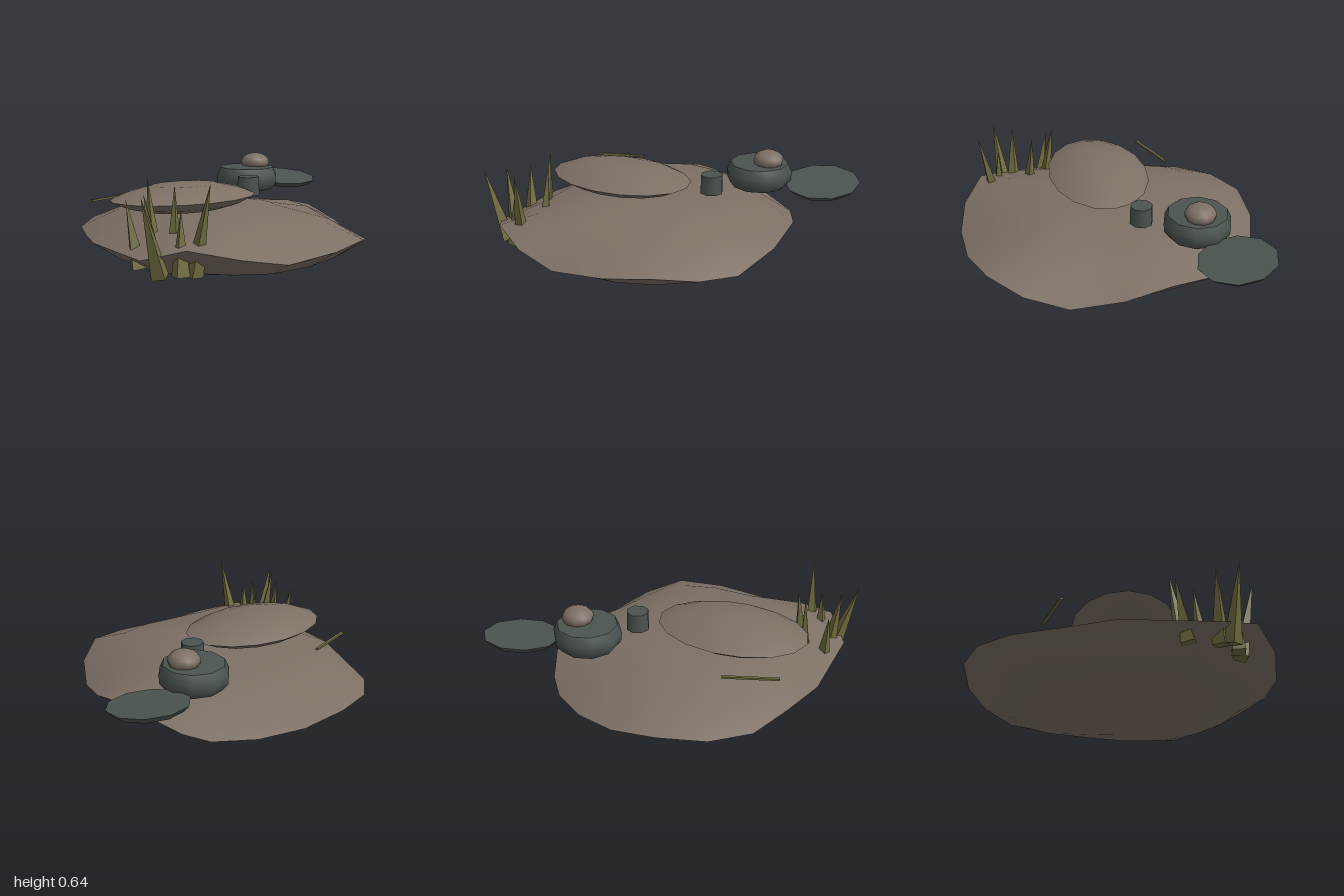
import * as THREE from 'three';
import { toCreasedNormals } from 'three/addons/utils/BufferGeometryUtils.js';

const mat = (name, color) => new THREE.MeshStandardMaterial({ name, color });

// Lens-shaped rock: rim points [x, z, y], rings [scale, y, share of the rim's waviness]
function lensRock(rim, cx, cz, meanY, rings) {
  const pos = [], index = [], n = rim.length;
  for (const [t, y, wave] of rings)
    for (const [x, z, ry] of rim)
      pos.push(cx + (x - cx) * t, y + (ry - meanY) * wave, cz + (z - cz) * t);
  for (let r = 0; r < rings.length - 1; r++)
    for (let i = 0; i < n; i++) {
      const j = (i + 1) % n;
      const a = r * n + i, b = r * n + j, c = a + n, d = b + n;
      if (rings[r + 1][0] > 0) index.push(a, d, c);
      if (rings[r][0] > 0) index.push(a, b, d);
    }
  const geo = new THREE.BufferGeometry();
  geo.setAttribute('position', new THREE.Float32BufferAttribute(pos, 3));
  geo.setIndex(index);
  return toCreasedNormals(geo, 0.9);
}

export function createModel() {
  const model = new THREE.Group();
  const brown = mat('brownStone', 0x7d7065);
  const slate = mat('slateStone', 0x4b5450);
  const olive = mat('oliveGrass', 0x706c3f);

  const add = (name, geo, material, x = 0, y = 0, z = 0) => {
    const mesh = new THREE.Mesh(geo, material);
    mesh.name = name;
    mesh.position.set(x, y, z);
    model.add(mesh);
    return mesh;
  };

  // Large base rock with a wavy rim
  const rim = [
    [-0.31, -0.945, 0.235], [-0.03, -0.94, 0.2], [0.23, -0.85, 0.17], [0.45, -0.7, 0.155],
    [0.56, -0.57, 0.18], [0.735, -0.195, 0.275], [0.735, 0.09, 0.21], [0.65, 0.4, 0.14],
    [0.53, 0.655, 0.185], [0.34, 0.84, 0.235], [0.065, 0.93, 0.21], [-0.275, 0.94, 0.18],
    [-0.55, 0.885, 0.23], [-0.8, 0.745, 0.285], [-0.96, 0.52, 0.21], [-0.96, -0.05, 0.21],
    [-0.87, -0.345, 0.2], [-0.77, -0.64, 0.2], [-0.58, -0.84, 0.22],
  ];
  add('baseRock', lensRock(rim, -0.12, 0, 0.21, [
    [0, 0.368, 0], [0.42, 0.362, 0], [0.75, 0.312, 0.25], [1, 0.21, 1],
    [0.8, 0.098, 0.25], [0.5, 0.04, 0], [0, 0, 0],
  ]), brown);

  // Oval slab resting on the base
  const oval = Array.from({ length: 16 }, (_, i) => {
    const a = i / 16 * Math.PI * 2;
    return [-0.38 + 0.478 * Math.cos(a), 0.012 + 0.322 * Math.sin(a), 0.447];
  });
  add('ovalSlab', lensRock(oval, -0.38, 0.012, 0.447, [
    [0, 0.528, 0], [0.45, 0.523, 0], [0.8, 0.485, 0], [1, 0.447, 1],
    [0.8, 0.402, 0], [0.55, 0.373, 0], [0, 0.368, 0],
  ]), brown);

  // Squat round boulder with a small cap stone
  const profile = [[0, 0.383], [0.175, 0.385], [0.206, 0.425], [0.21, 0.48], [0.185, 0.533], [0, 0.541]]
    .map(([r, y]) => new THREE.Vector2(r, y));
  add('roundBoulder', toCreasedNormals(new THREE.LatheGeometry(profile, 10), 0.85), slate, 0.385, 0, -0.435);
  add('capStone', new THREE.SphereGeometry(0.097, 10, 8), brown, 0.45, 0.562, -0.43).scale.y = 0.65;

  // Short stone stump
  add('stump', new THREE.CylinderGeometry(0.07, 0.073, 0.12, 8), slate, 0.195, 0.45, -0.137);

  // Tilted flat stone at the edge
  add('flatStone', new THREE.CylinderGeometry(0.24, 0.205, 0.035, 10), slate, 0.77, 0.412, -0.562)
    .rotation.x = 0.13;

  // Loose twig
  add('twig', new THREE.BoxGeometry(0.335, 0.012, 0.018), olive, -0.662, 0.41, -0.418)
    .rotation.y = 0.35;

  // Grass blades: base x, z, then tip x, y, z
  const blades = [
    [-0.87, 0.58, -1, 0.57, 0.62], [-0.7, 0.65, -0.655, 0.635, 0.755],
    [-0.85, 0.52, -0.92, 0.57, 0.5], [-0.76, 0.325, -0.76, 0.615, 0.25],
    [-0.87, 0.34, -0.91, 0.51, 0.27], [-0.7, 0.44, -0.67, 0.585, 0.4],
    [-0.77, 0.63, -0.76, 0.48, 0.62],
  ];
  const up = new THREE.Vector3(0, 1, 0);
  blades.forEach(([bx, bz, tx, ty, tz], i) => {
    const base = new THREE.Vector3(bx, 0.12, bz);
    const dir = new THREE.Vector3(tx, ty, tz).sub(base);
    const length = dir.length();
    const geo = toCreasedNormals(new THREE.ConeGeometry(0.055, length, 4), 0.5);
    geo.rotateY(i * 0.9).translate(0, length / 2, 0);
    add('grassBlade', geo, olive, bx, 0.12, bz).quaternion.setFromUnitVectors(up, dir.normalize());
  });

  return model;
}
